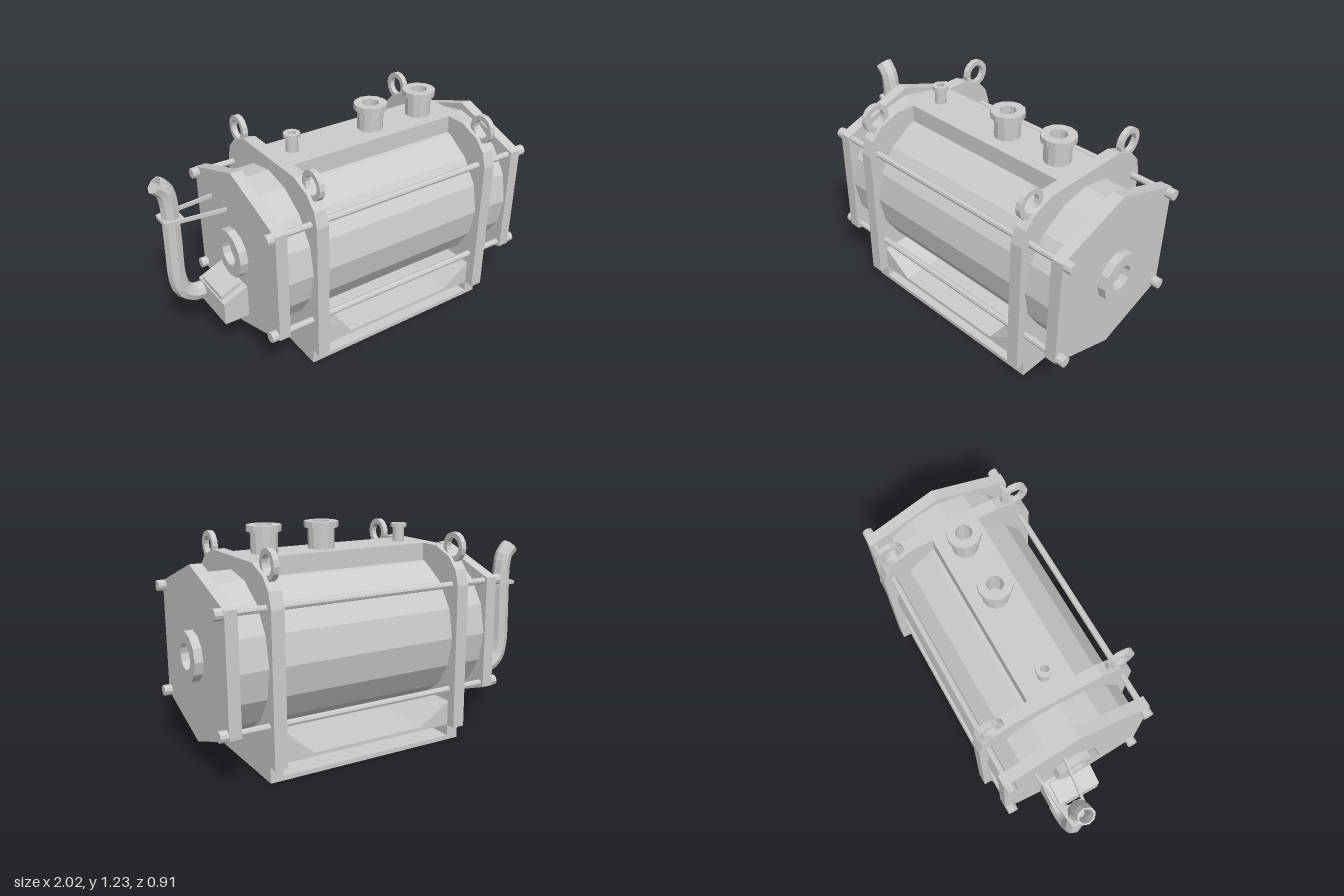
import * as THREE from 'three';

export function createModel() {
  const root = new THREE.Group();
  const mat = new THREE.MeshStandardMaterial({ color: 0xcccccc, flatShading: true });
  const openMat = new THREE.MeshStandardMaterial({ color: 0xcccccc, flatShading: true, side: THREE.DoubleSide });
  const axisY = 0.595;

  const add = (name, geo, x = 0, y = 0, z = 0, m = mat) => {
    const mesh = new THREE.Mesh(geo, m);
    mesh.name = name;
    mesh.position.set(x, y, z);
    root.add(mesh);
    return mesh;
  };
  const shapeOf = (pts) => new THREE.Shape(pts.map(([a, b]) => new THREE.Vector2(a, b)));
  const extrude = (shape, depth, curveSegments = 12) =>
    new THREE.ExtrudeGeometry(shape, { depth, bevelEnabled: false, curveSegments }).translate(0, 0, -depth / 2);
  // Plate drawn in (z, y), with its thickness along x
  const plateX = (shape, t, seg) => extrude(shape, t, seg).rotateY(-Math.PI / 2);
  const lathe = (pts, seg = 12) => new THREE.LatheGeometry(pts.map(([r, y]) => new THREE.Vector2(r, y)), seg);
  const rodX = (r, len, seg) => new THREE.CylinderGeometry(r, r, len, seg).rotateZ(Math.PI / 2);
  const mirrored = (half) => [...half, ...half.map(([a, b]) => [-a, b]).reverse()];
  const boxSpan = (name, x0, x1, y0, y1, z0, z1) =>
    add(name, new THREE.BoxGeometry(x1 - x0, y1 - y0, z1 - z0), (x0 + x1) / 2, (y0 + y1) / 2, (z0 + z1) / 2);

  // Main pressure vessel
  add('boilerShell', rodX(0.42, 1.5, 16), 0.155, axisY, 0);

  // Hexagonal end plates with ring-shaped bosses
  const hex = shapeOf([[0, 0.13], [0.43, 0.28], [0.43, 0.91], [0, 1.06], [-0.43, 0.91], [-0.43, 0.28]]);
  const boss = [[0.07, 0], [0.135, 0], [0.135, 0.045], [0.07, 0.045], [0.07, 0]];
  for (const [x, side] of [[-0.615, -1], [0.923, 1]]) {
    add('endPlate', plateX(hex, 0.065), x, 0, 0);
    add('endBoss', lathe(boss).rotateZ(-side * Math.PI / 2), x + side * 0.0325, axisY, 0);
  }

  // Tie rods and their nuts
  for (const z of [-0.4, 0.4]) {
    for (const y of [0.3, 0.89]) {
      add('tieRod', rodX(0.018, 1.62, 8), 0.155, y, z);
      for (const x of [-0.665, 0.977]) add('tieRodNut', rodX(0.03, 0.043, 10), x, y, z);
    }
  }

  // Support frames with lifting eyes
  const frame = shapeOf(mirrored([
    [0.4, 0], [0.4, 0.087], [0.455, 0.087], [0.455, 0.89], [0.43, 0.975], [0.37, 1.04], [0.255, 1.085],
  ]));
  const eye = new THREE.Shape().absarc(0, 0, 0.08, 0, Math.PI * 2);
  eye.holes.push(new THREE.Path().absarc(0, 0, 0.051, 0, Math.PI * 2, true));
  for (const x of [-0.395, 0.7]) {
    add('supportFrame', plateX(frame, 0.07), x, 0, 0);
    for (const z of [-0.375, 0.375]) add('liftingEye', plateX(eye, 0.03, 7), x, 1.09, z);
  }

  // Top deck and base between the frames
  boxSpan('topDeck', -0.37, 0.675, 0.9, 1.085, -0.138, 0.138);
  boxSpan('basePlate', -0.37, 0.675, 0, 0.025, -0.4, 0.4);
  const tray = shapeOf([[-0.37, 0.09], [0.675, 0.09], [0.675, 0.237], [0.49, 0.11], [-0.18, 0.11], [-0.37, 0.237]]);
  add('baseTray', extrude(tray, 0.8));

  // Flanged nozzles on the deck: x, pipe radius, flange radius, hole radius, flange base, top
  for (const [x, rp, rf, rh, yf, top] of [
    [-0.285, 0.033, 0.045, 0.022, 1.165, 1.187],
    [0.215, 0.072, 0.092, 0.045, 1.197, 1.23],
    [0.55, 0.072, 0.092, 0.045, 1.197, 1.23],
  ]) {
    add('nozzle', lathe([[rp, 1.07], [rp, yf], [rf, yf], [rf, top], [rh, top], [rh, 1.08]]), x, 0, 0);
  }

  // Firebox with a sloping cover
  const fire = shapeOf([[-0.79, 0.23], [-0.64, 0.23], [-0.64, 0.425], [-0.79, 0.36]]);
  add('firebox', extrude(fire, 0.3), 0, 0, -0.05);
  const cover = shapeOf([[-0.782, 0.36], [-0.66, 0.412], [-0.666, 0.437], [-0.785, 0.387]]);
  add('fireboxCover', extrude(cover, 0.22), 0, 0, -0.05);

  // Exhaust pipe rising from the firebox
  const pz = -0.163;
  const path = new THREE.CatmullRomCurve3([
    [-0.77, 0.305], [-0.84, 0.308], [-0.9, 0.35], [-0.925, 0.43], [-0.925, 0.68],
    [-0.925, 0.92], [-0.94, 0.98], [-0.982, 1.025],
  ].map(([x, y]) => new THREE.Vector3(x, y, pz)));
  add('exhaustPipe', new THREE.TubeGeometry(path, 24, 0.05, 8), 0, 0, 0, openMat);
  add('exhaustLining', new THREE.TubeGeometry(path, 24, 0.04, 8), 0, 0, 0, openMat);
  const rim = add('exhaustRim', new THREE.RingGeometry(0.04, 0.05, 8), -0.982, 1.025, pz, openMat);
  rim.lookAt(rim.position.clone().add(path.getTangent(1)));

  // Clamp and splayed struts holding the pipe
  boxSpan('pipeClamp', -0.98, -0.87, 0.803, 0.823, pz - 0.054, pz + 0.054);
  for (const s of [-1, 1]) {
    const dx = 0.33, dz = s * 0.037;
    const strut = add('pipeStrut', new THREE.BoxGeometry(Math.hypot(dx, dz), 0.02, 0.014),
      -0.805, 0.813, pz + s * 0.069);
    strut.rotation.y = -Math.atan2(dz, dx);
  }
  return root;
}
